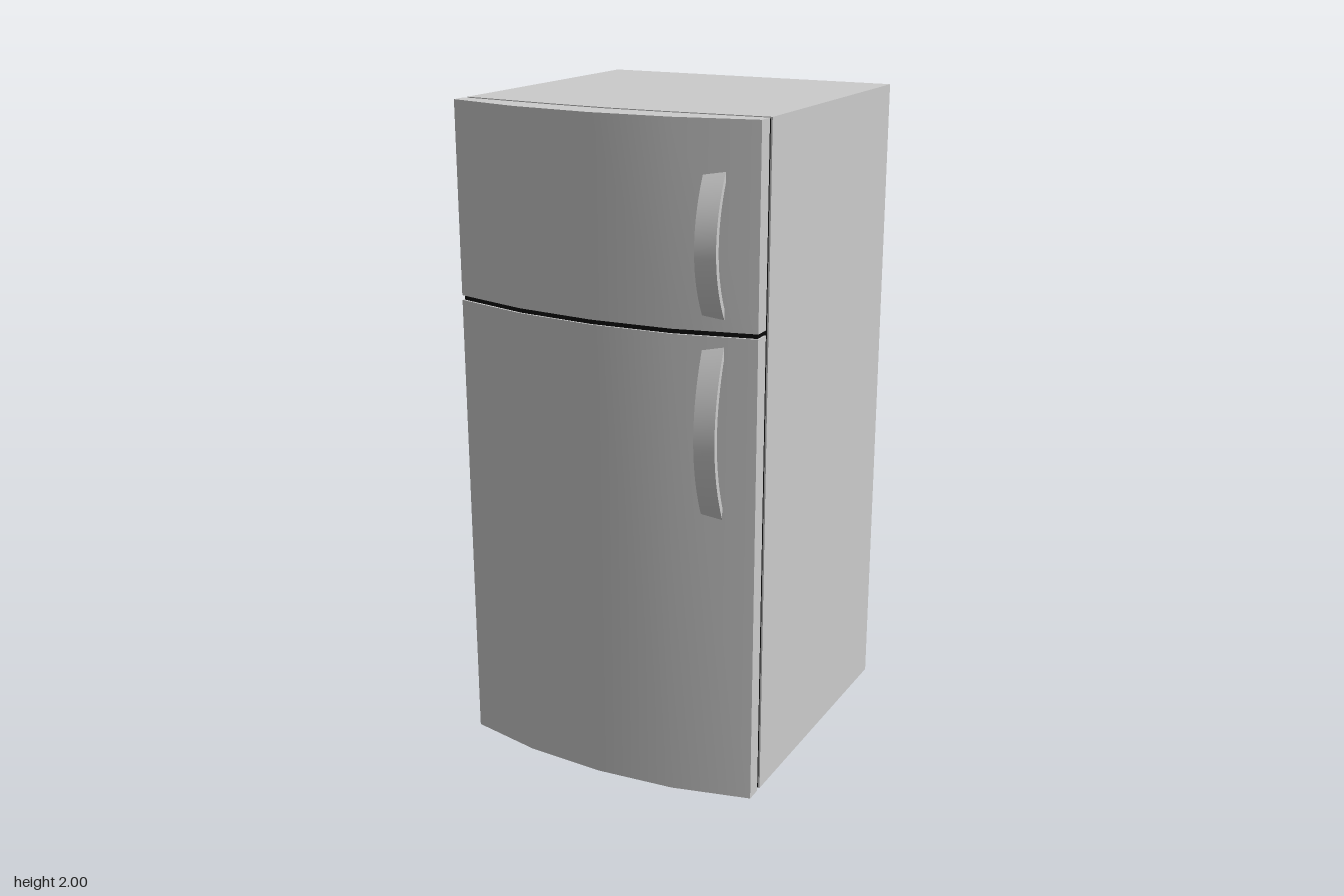
import * as THREE from 'three';
import { toCreasedNormals } from 'three/addons/utils/BufferGeometryUtils.js';

const grey = new THREE.MeshStandardMaterial({ color: 0xcccccc });
const black = new THREE.MeshStandardMaterial({ color: 0x0a0a0a });

// Plan outlines as [x, z], running from right to left
const cabinetFront = [[-0.47, 0.345], [-0.17, 0.368], [0, 0.375], [0.17, 0.368], [0.47, 0.345]];
const doorFront = [[-0.47, 0.41], [-0.24, 0.463], [0, 0.48], [0.24, 0.463], [0.47, 0.41]];
const shift = (line, dz, sx = 1) => line.map(([x, z]) => [x * sx, z + dz]);

// Vertical prism between a back line and a front line
function slab(name, back, front, y0, y1, material) {
  const outline = [...back, ...[...front].reverse()];
  const shape = new THREE.Shape(outline.map(([x, z]) => new THREE.Vector2(x, -z)));
  const geometry = new THREE.ExtrudeGeometry(shape, { depth: y1 - y0, bevelEnabled: false });
  geometry.rotateX(-Math.PI / 2).translate(0, y0, 0);
  const mesh = new THREE.Mesh(toCreasedNormals(geometry, 0.5), material);
  mesh.name = name;
  return mesh;
}

// Bowed strap handle, turned to follow the curve of the door
function handle(name, y0, y1) {
  const half = (y1 - y0) / 2, n = 20, width = 0.06;
  const arc = (zEnd, zMid, h) => Array.from({ length: n + 1 }, (_, i) => {
    const t = (i / n) * 2 - 1;
    return new THREE.Vector2(zMid - (zMid - zEnd) * t * t, t * h);
  });
  const outer = arc(-0.062, 0.008, half);
  const inner = arc(-0.078, -0.012, half - 0.006).reverse();
  const geometry = new THREE.ExtrudeGeometry(new THREE.Shape([...outer, ...inner]),
    { depth: width, bevelEnabled: false });
  geometry.translate(0, 0, -width / 2).rotateY(-Math.PI / 2);
  const mesh = new THREE.Mesh(toCreasedNormals(geometry, 0.5), grey);
  mesh.name = name;
  mesh.position.set(0.358, (y0 + y1) / 2, 0.496);
  mesh.rotation.y = 0.12;
  return mesh;
}

export function createModel() {
  const model = new THREE.Group();
  model.name = 'refrigerator';
  const bottom = 0.05, top = 2, split = 1.435, gap = 0.007;

  // Cabinet with a gently bowed front
  model.add(slab('cabinet', [[-0.47, -0.51], [0.47, -0.51]], cabinetFront, bottom, top, grey));

  // Dark seals behind and between the doors
  const doorBack = shift(cabinetFront, 0.017);
  model.add(slab('doorSeal', shift(cabinetFront, -0.002, 0.99), shift(doorBack, 0.002, 0.99),
    bottom + 0.004, top - 0.004, black));
  model.add(slab('dividerSeal', shift(doorBack, -0.002, 0.99), shift(doorFront, -0.006, 0.99),
    split - gap - 0.002, split + gap + 0.002, black));

  // Doors
  model.add(slab('fridgeDoor', doorBack, doorFront, bottom, split - gap, grey));
  model.add(slab('freezerDoor', doorBack, doorFront, split + gap, top, grey));

  // Handles
  model.add(handle('freezerHandle', 1.475, 1.865));
  model.add(handle('fridgeHandle', 0.91, 1.4));

  // Feet
  for (const x of [-0.342, 0.342]) {
    for (const [z, depth] of [[0.23, 0.1], [-0.41, 0.09]]) {
      const foot = new THREE.Mesh(new THREE.BoxGeometry(0.085, bottom, depth), grey);
      foot.name = 'foot';
      foot.position.set(x, bottom / 2, z);
      model.add(foot);
    }
  }
  return model;
}
